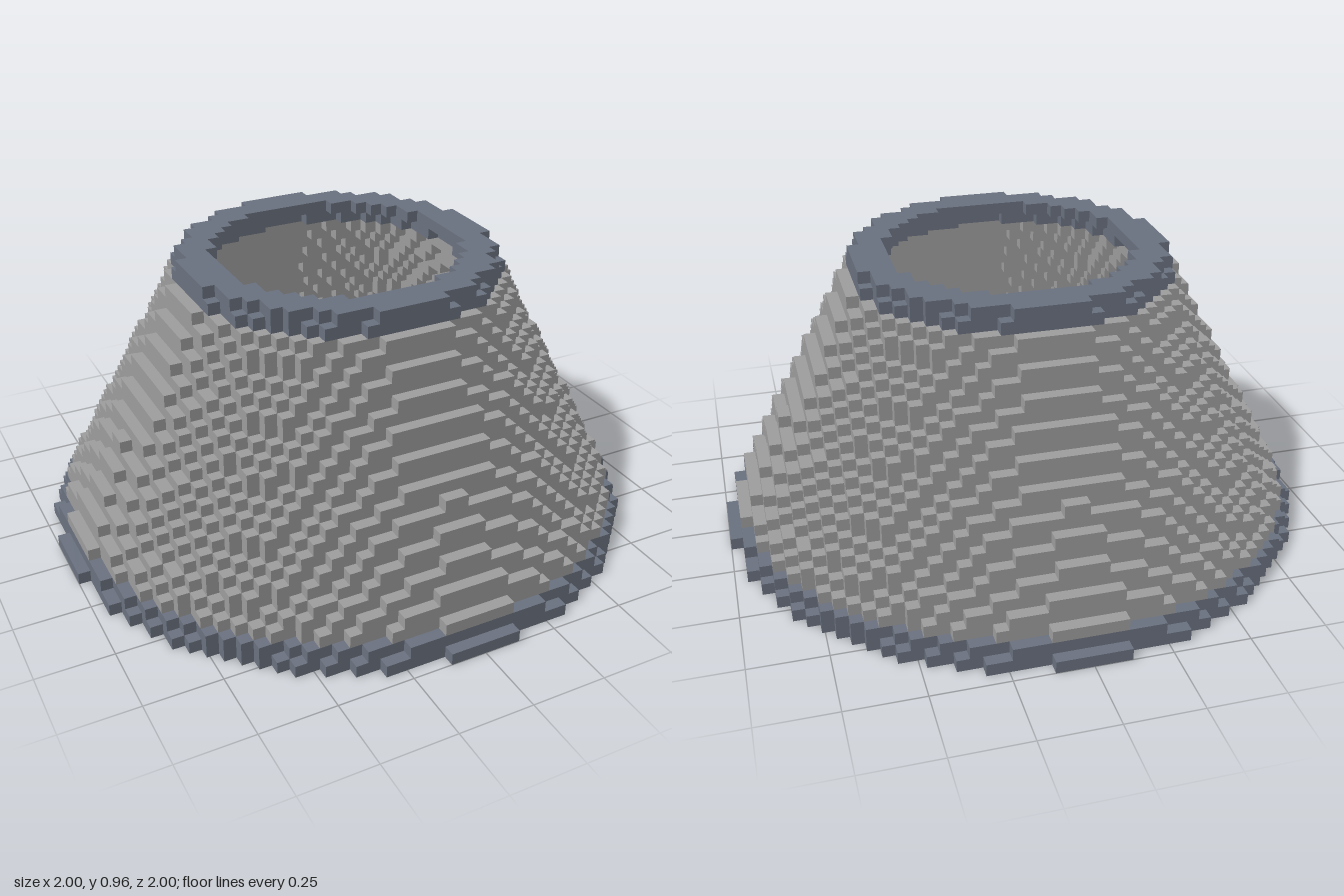
import * as THREE from 'three';
import { mergeGeometries } from 'three/addons/utils/BufferGeometryUtils.js';

const VOXEL = 0.04, LAYERS = 24;
const BASE_RADIUS = 25, TOP_RADIUS = 12.5, WALL = 2.5; // in voxels

// Stepped outline of all voxels whose centres lie within the radius
function steppedCircle(radius) {
  const halfWidth = row => {
    const z = row + 0.5, d = radius * radius - z * z;
    return d > 0 ? Math.floor(Math.sqrt(d) + 0.5) : 0;
  };
  const right = [];
  for (let row = -BASE_RADIUS; row < BASE_RADIUS; row++) {
    const w = halfWidth(row);
    if (w === 0) continue;
    for (const [x, y] of [[w, row], [w, row + 1]]) {
      // extend a straight run instead of adding a point on it
      const n = right.length;
      if (n > 1 && right[n - 1].x === x * VOXEL && right[n - 2].x === x * VOXEL) right.pop();
      const last = right[right.length - 1];
      if (!last || last.x !== x * VOXEL || last.y !== y * VOXEL) {
        right.push(new THREE.Vector2(x * VOXEL, y * VOXEL));
      }
    }
  }
  const left = right.map(p => new THREE.Vector2(-p.x, p.y)).reverse();
  return [...right, ...left];
}

// One voxel-high ring of the cone
function ringLayer(i) {
  const radius = BASE_RADIUS + (TOP_RADIUS - BASE_RADIUS) * (i + 0.5) / LAYERS;
  const shape = new THREE.Shape(steppedCircle(radius));
  shape.holes.push(new THREE.Path(steppedCircle(radius - WALL)));
  const geometry = new THREE.ExtrudeGeometry(shape, { depth: VOXEL, bevelEnabled: false });
  return geometry.rotateX(-Math.PI / 2).translate(0, i * VOXEL, 0);
}

export function createModel() {
  const group = new THREE.Group();
  group.name = 'hollowCone';

  const wallGrey = new THREE.MeshStandardMaterial({ color: 0x9e9e9e });
  wallGrey.name = 'wall grey';
  const rimBlueGrey = new THREE.MeshStandardMaterial({ color: 0x6b7280 });
  rimBlueGrey.name = 'rim blue grey';

  // Stack a range of layers into one part
  const addBand = (name, from, to, material) => {
    const layers = [];
    for (let i = from; i < to; i++) layers.push(ringLayer(i));
    const mesh = new THREE.Mesh(mergeGeometries(layers), material);
    mesh.name = name;
    group.add(mesh);
  };

  addBand('baseRim', 0, 2, rimBlueGrey);
  addBand('coneWall', 2, LAYERS - 2, wallGrey);
  addBand('topRim', LAYERS - 2, LAYERS, rimBlueGrey);
  return group;
}
